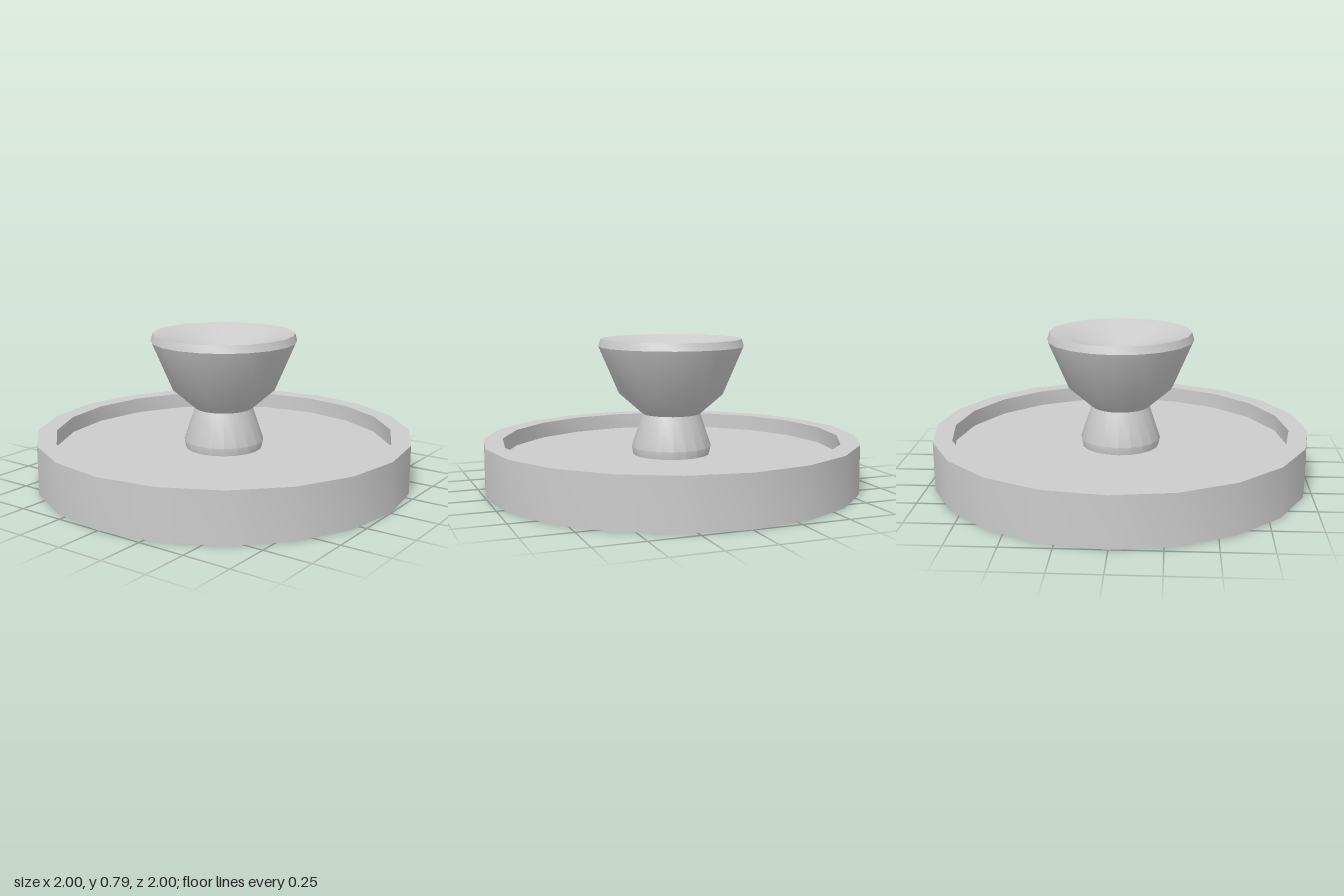
import * as THREE from 'three';
import { toCreasedNormals } from 'three/addons/utils/BufferGeometryUtils.js';

const SIDES = 20;
const material = new THREE.MeshStandardMaterial({ color: 0xcccccc, side: THREE.DoubleSide });

// Turn a [radius, height] profile around the y axis, keeping sharp rims
function turned(name, profile) {
  const points = profile.map(([r, y]) => new THREE.Vector2(r, y));
  const geometry = toCreasedNormals(new THREE.LatheGeometry(points, SIDES), THREE.MathUtils.degToRad(32));
  const mesh = new THREE.Mesh(geometry, material);
  mesh.name = name;
  return mesh;
}

export function createModel() {
  const group = new THREE.Group();
  group.name = 'lidWithKnob';

  // Hollow lid: outer skirt, flat rim, recessed floor with an open centre
  group.add(turned('lid', [
    [1, 0], [1, 0.26], [0.9, 0.26], [0.9, 0.173], [0.205, 0.173],
  ]));

  // Tapered neck, open below, slightly tucked in at the floor
  group.add(turned('neck', [
    [0.205, 0.173], [0.213, 0.215], [0.155, 0.39],
  ]));

  // Flared grip with a bevelled edge
  group.add(turned('grip', [
    [0.155, 0.39], [0.28, 0.5], [0.387, 0.75], [0.375, 0.79],
  ]));

  // Shallow dished top of the grip
  group.add(turned('gripDish', [
    [0.375, 0.79], [0.27, 0.765], [0.12, 0.705], [0, 0.69],
  ]));

  return group;
}
